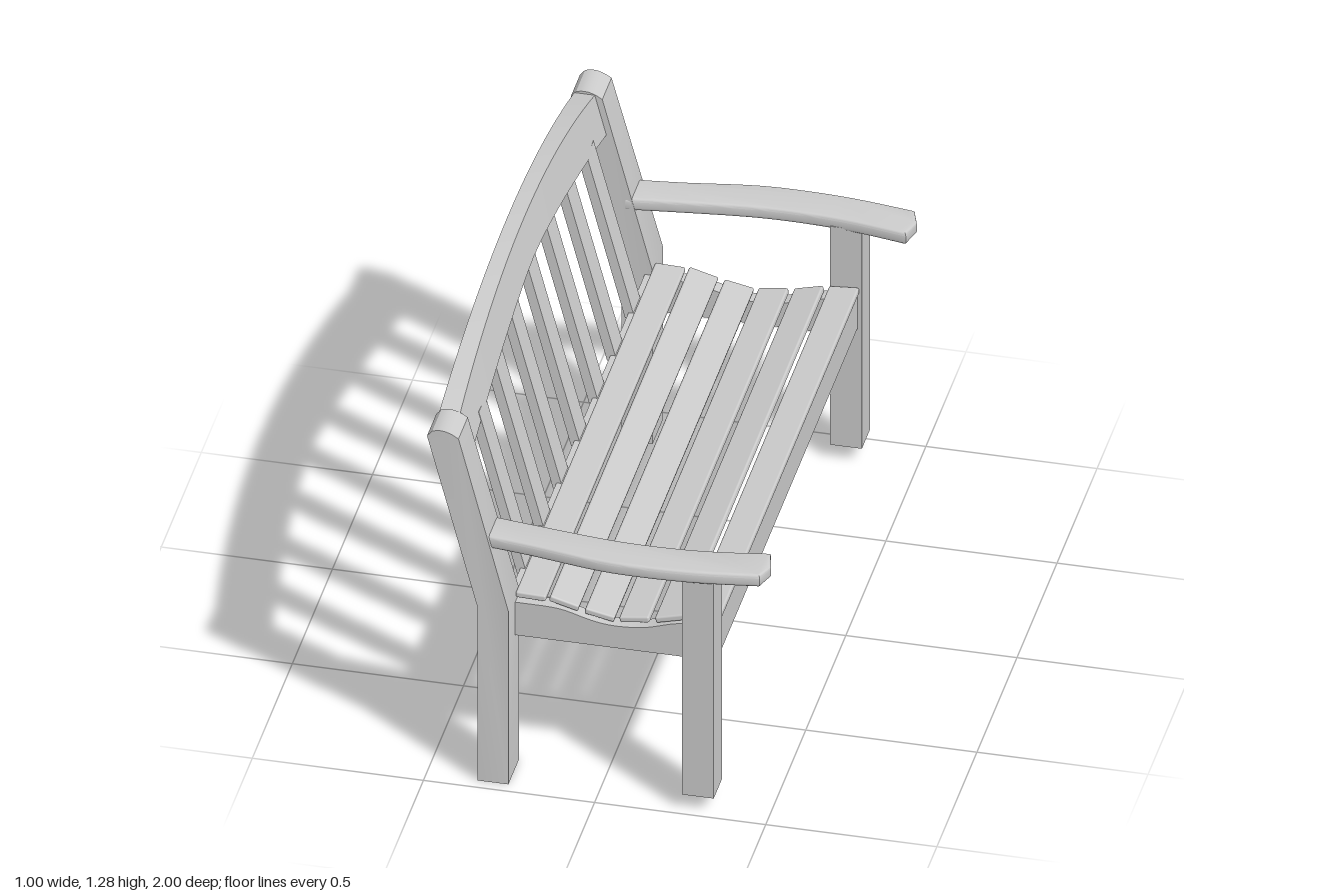
import * as THREE from 'three';
import { toCreasedNormals } from 'three/addons/utils/BufferGeometryUtils.js';
import { RoundedBoxGeometry } from 'three/addons/geometries/RoundedBoxGeometry.js';

const LEAN = 0.263; // backward lean of the backrest per unit of height
const SEAT = 0.59;  // height where the lean begins

export function createModel() {
  const bench = new THREE.Group();
  bench.name = 'gardenBench';
  const material = new THREE.MeshStandardMaterial({ color: 0xcccccc });

  const add = (name, geometry) => {
    const mesh = new THREE.Mesh(geometry, material);
    mesh.name = name;
    bench.add(mesh);
    return mesh;
  };

  // Box given by its limits on each axis
  const box = (x0, x1, y0, y1, z0, z1) =>
    new THREE.BoxGeometry(x1 - x0, y1 - y0, z1 - z0)
      .translate((x0 + x1) / 2, (y0 + y1) / 2, (z0 + z1) / 2);

  // Move every vertex by a rule, then refresh the normals
  const warp = (geometry, rule) => {
    const p = geometry.attributes.position;
    const v = new THREE.Vector3();
    for (let i = 0; i < p.count; i++) {
      rule(v.fromBufferAttribute(p, i));
      p.setXYZ(i, v.x, v.y, v.z);
    }
    geometry.computeVertexNormals();
    return geometry;
  };
  const lean = (v) => { v.x -= LEAN * (v.y - SEAT); };

  // Arched edges of the top rail
  const HALF = 0.845;
  const archTop = (z) => 1.28 - 0.12 * (Math.abs(z) / HALF) ** 2;
  const archBottom = (z) => 1.16 - 0.13 * (Math.abs(z) / HALF) ** 1.6;

  for (const s of [1, -1]) {
    const side = s > 0 ? 'left' : 'right';

    // Rear post: straight leg, leaning upper part with a rounded top
    const post = new THREE.Shape();
    post.moveTo(-0.35, 0);
    post.lineTo(-0.26, 0);
    post.lineTo(-0.26, SEAT);
    post.lineTo(-0.408, 1.15);
    post.quadraticCurveTo(-0.45, 1.18, -0.485, 1.165);
    post.lineTo(-0.5, 1.147);
    post.lineTo(-0.35, SEAT);
    const postGeo = new THREE.ExtrudeGeometry(post, { depth: 0.13, bevelEnabled: false, curveSegments: 6 })
      .translate(0, 0, s * 0.9 - 0.065);
    // slight narrowing towards the top
    warp(postGeo, (v) => {
      const t = Math.max(0, (v.y - SEAT) / 0.57);
      v.z += s * t * (Math.abs(v.z) > 0.9 ? -0.01 : 0.005);
    });
    add(side + 'RearPost', toCreasedNormals(postGeo, 0.5));

    // Front leg
    const leg = add(side + 'FrontLeg', new THREE.BoxGeometry(0.093, 0.745, 0.103));
    leg.position.set(0.296, 0.4225, s * 0.925);

    // Scooped side rail under the seat slats
    const rail = new THREE.Shape();
    rail.moveTo(-0.265, 0.455);
    rail.lineTo(0.255, 0.455);
    rail.lineTo(0.255, 0.572);
    rail.splineThru([[0.2, 0.562], [0.12, 0.538], [0.04, 0.53], [-0.03, 0.537], [-0.12, 0.562], [-0.18, 0.567]]
      .map(([x, y]) => new THREE.Vector2(x, y)));
    rail.lineTo(-0.265, 0.567);
    const railGeo = new THREE.ExtrudeGeometry(rail, { depth: 0.045, bevelEnabled: false, curveSegments: 4 })
      .translate(0, 0, s * 0.8575 - 0.0225);
    add(side + 'SideRail', toCreasedNormals(railGeo, 0.5));

    // Armrest: bowed outwards, with softened edges and a rounded tip
    const pts = (list) => list.map(([x, z]) => new THREE.Vector2(x, s * z));
    const arm = new THREE.Shape();
    arm.moveTo(-0.34, s * 0.835);
    arm.splineThru(pts([[-0.2, 0.853], [0, 0.876], [0.14, 0.881], [0.3, 0.872], [0.478, 0.843]]));
    arm.lineTo(0.495, s * 0.91);
    arm.lineTo(0.475, s * 0.968);
    arm.splineThru(pts([[0.3, 0.992], [0.14, 1], [0, 0.994], [-0.2, 0.962], [-0.34, 0.945]]));
    const bevel = 0.01;
    const armGeo = new THREE.ExtrudeGeometry(arm, {
      depth: 0.04 - 2 * bevel, bevelThickness: bevel, bevelSize: bevel,
      bevelOffset: -bevel, bevelSegments: 3, curveSegments: 4,
    }).rotateX(Math.PI / 2).translate(0, 0.824 - bevel, 0);
    add(side + 'Armrest', toCreasedNormals(armGeo, 0.6));
  }

  // Rails along the seat
  add('frontSeatRail', box(0.285, 0.33, 0.46, 0.575, -0.88, 0.88));
  add('rearSeatRail', box(-0.283, -0.235, 0.46, 0.575, -0.845, 0.845));

  // Seat slats following the scoop: centre x, centre y, tilt
  [[-0.217, 0.586, -0.03], [-0.12, 0.577, -0.27], [-0.016, 0.553, -0.2],
    [0.086, 0.553, 0.14], [0.19, 0.572, 0.26], [0.292, 0.588, 0.08]].forEach(([x, y, tilt], i) => {
    const slat = add('seatSlat' + (i + 1), new RoundedBoxGeometry(0.088, 0.02, 1.744, 2, 0.006));
    slat.position.set(x, y, 0);
    slat.rotation.z = tilt;
  });

  // Arched top rail, its ends bowed slightly backwards
  const topRail = new THREE.BoxGeometry(1, 1, 2 * HALF, 1, 1, 24);
  warp(topRail, (v) => {
    const u = (v.z / HALF) ** 2;
    v.x = v.x > 0 ? -0.26 - 0.02 * u : -0.307 - 0.033 * u;
    v.y = v.y > 0 ? archTop(v.z) : archBottom(v.z);
    lean(v);
  });
  add('topRail', topRail);

  // Back slats rising into the arch
  for (let i = -3; i <= 3; i++) {
    const z = i * 0.225;
    const slat = box(-0.302, -0.273, 0.555, archBottom(z) + 0.02, z - 0.042, z + 0.042);
    add('backSlat' + (i + 4), warp(slat, lean));
  }

  return bench;
}
